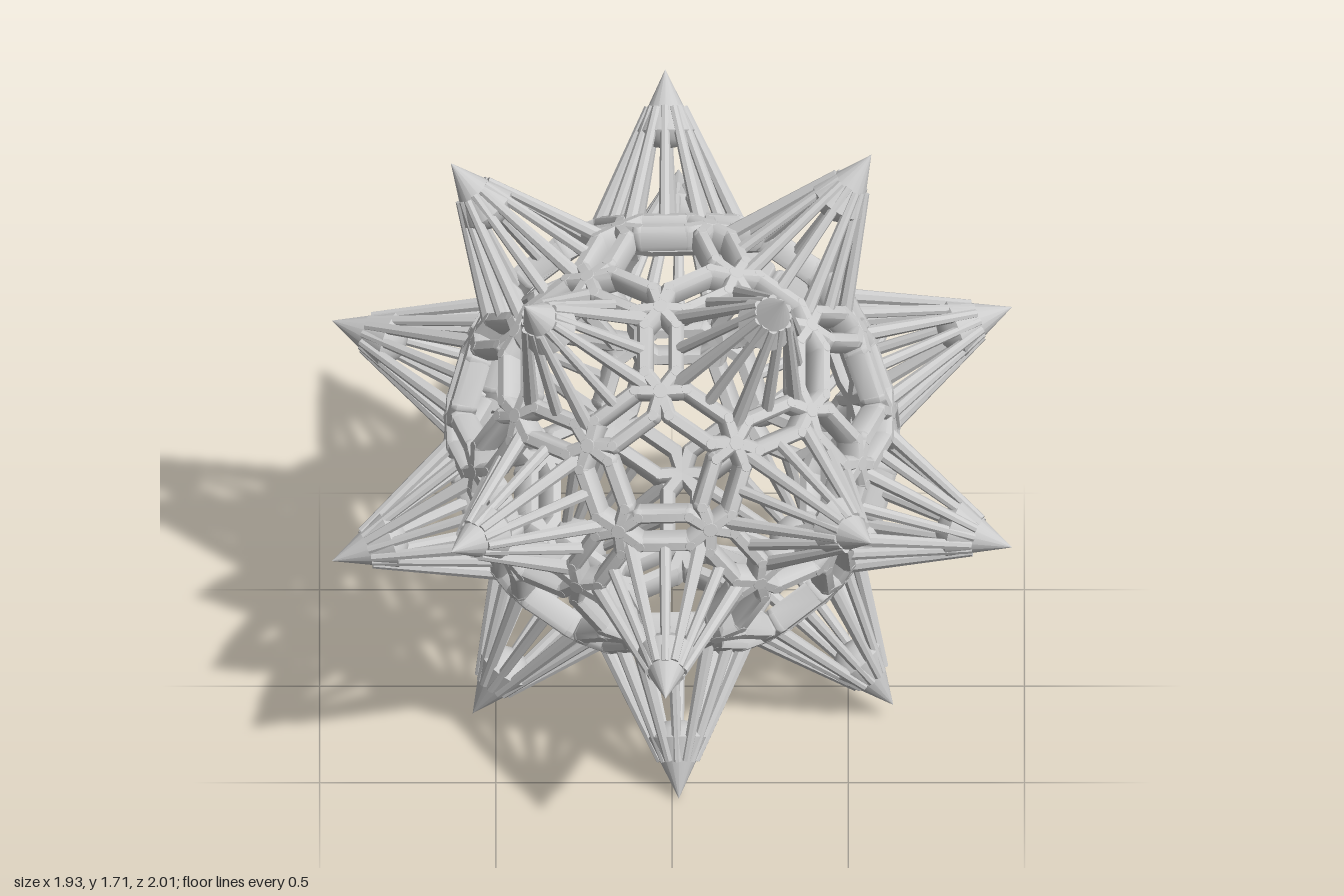
import * as THREE from 'three';
import { mergeGeometries, toCreasedNormals } from 'three/addons/utils/BufferGeometryUtils.js';

const R = 0.65;             // shell radius
const DEPTH = 0.075;        // shell thickness
const TIP = 1.035;          // spike tip radius
const NODE = 0.351;         // angle from a pentagon's centre to its corners
const SLOT = { half: 0.074, width: 0.046 };
// bar cross-section: sideways offset, distance from the shell's centre
const PROFILE = [[-0.013, R - DEPTH], [0.013, R - DEPTH], [0.021, R - DEPTH + 0.015], [0.022, R - 0.014],
  [0.012, R], [-0.012, R], [-0.022, R - 0.014], [-0.021, R - DEPTH + 0.015]];
const Y = new THREE.Vector3(0, 1, 0);

const sum = (...v) => v.reduce((s, p) => s.add(p), new THREE.Vector3()).normalize();
const plain = (g) => {
  const n = g.index ? g.toNonIndexed() : g;
  n.deleteAttribute('uv');
  return n;
};

// the direction reached by turning from p towards q
function towards(p, q, angle) {
  const side = q.clone().addScaledVector(p, -p.dot(q)).normalize();
  return p.clone().multiplyScalar(Math.cos(angle)).addScaledVector(side, Math.sin(angle));
}

// bar between two directions, its walls leaning towards the centre
function bar(a, b) {
  const side = sum(a, b).cross(b.clone().sub(a)).normalize();
  const pos = [], index = [], n = PROFILE.length;
  for (const dir of [a, b])
    for (const [l, r] of PROFILE)
      pos.push(...dir.clone().multiplyScalar(r).addScaledVector(side, l).toArray());
  for (let j = 0; j < n; j++) {
    const k = (j + 1) % n;
    index.push(j, k, n + k, j, n + k, n + j);
  }
  const g = new THREE.BufferGeometry();
  g.setAttribute('position', new THREE.Float32BufferAttribute(pos, 3));
  g.setIndex(index);
  g.computeVertexNormals();
  return plain(g);
}

// turned shape standing on a direction from the centre
function turned(profile, dir, sides) {
  const g = new THREE.LatheGeometry(profile.map(([x, y]) => new THREE.Vector2(x, y)), sides);
  return plain(g.applyQuaternion(new THREE.Quaternion().setFromUnitVectors(Y, dir)));
}

// joint where bars meet
const post = (dir, r) => turned([[0, R - DEPTH], [r * 0.6, R - DEPTH], [r * 0.9, R - DEPTH + 0.015],
  [r, R - 0.014], [r * 0.6, R], [0, R]], dir, 10);

// long six-sided frame between two corners of the shell
function slotFrame(a, b) {
  const mid = sum(a, b), along = b.clone().sub(a).normalize();
  const across = mid.clone().cross(along);
  return [-1, 1].flatMap((s) => {
    const corner = (e) => mid.clone().addScaledVector(along, e * SLOT.half / R)
      .addScaledVector(across, s * SLOT.width / R).normalize();
    const c = corner(-1), d = corner(1);
    return [bar(a, c), bar(c, d), bar(d, b), post(c, 0.024), post(d, 0.024)];
  });
}

// tapered rod between two points
function rod(a, b, r0, r1) {
  const d = b.clone().sub(a);
  const g = new THREE.CylinderGeometry(r1, r0, d.length(), 8);
  g.applyQuaternion(new THREE.Quaternion().setFromUnitVectors(Y, d.clone().normalize()));
  const m = a.clone().add(b).multiplyScalar(0.5);
  return plain(g.translate(m.x, m.y, m.z));
}

// solid tip carried by twelve ribs from the middles and corners of a hexagon
function spike(axis, p, q, r, node) {
  const tip = axis.clone().multiplyScalar(TIP);
  const parts = [turned([[0, 0.81], [0.035, 0.815], [0.066, 0.835], [0.084, 0.862], [0, TIP]], axis, 16)];
  const rib = (dir, angle, width) => {
    const base = towards(axis, dir, angle).multiplyScalar(R - 0.03);
    parts.push(rod(base, base.clone().lerp(tip, 0.76), width, 0.013));
  };
  for (const [a, b, c] of [[p, q, r], [q, r, p], [r, p, q]]) {
    rib(node(a, b), 0.335, 0.022);
    rib(node(a, c), 0.335, 0.022);
    rib(a, 0.295, 0.018);
    rib(sum(a, b), 0.295, 0.018);
  }
  return parts;
}

export function createModel() {
  const group = new THREE.Group();
  const material = new THREE.MeshStandardMaterial({ color: 0xcccccc, side: THREE.DoubleSide });
  const add = (parts, name) => {
    const mesh = new THREE.Mesh(toCreasedNormals(mergeGeometries(parts), 0.7), material);
    mesh.name = name;
    mesh.position.y = 0.849;
    group.add(mesh);
  };

  // twelve pentagon centres, slightly tilted
  const tilt = new THREE.Quaternion().setFromUnitVectors(Y, new THREE.Vector3(-0.044, 0.998, 0.044).normalize());
  const centres = [Y.clone()];
  for (let k = 0; k < 5; k++) {
    const az = THREE.MathUtils.degToRad(-52.4 + 72 * k);
    centres.push(new THREE.Vector3(2 * Math.cos(az), 1, 2 * Math.sin(az)).normalize());
  }
  centres.push(...centres.map((c) => c.clone().negate()));
  centres.forEach((c) => c.applyQuaternion(tilt));
  const near = (p, q) => p !== q && p.dot(q) > 0.3;
  const node = (p, q) => towards(p, q, NODE);

  const joints = [], links = [], pentagons = [], spikes = [];
  centres.forEach((p, i) => centres.forEach((q, j) => {
    if (!near(p, q)) return;
    joints.push(post(node(p, q), 0.034));
    // slot linking two neighbouring pentagons
    if (i < j) links.push(...slotFrame(node(p, q), node(q, p)));

    centres.forEach((r, k) => {
      if (!near(p, r) || !near(q, r) || j > k) return;
      // slot along a pentagon's edge
      pentagons.push(...slotFrame(node(p, q), node(p, r)));
      // spike between three pentagons
      if (i < j) spikes.push(spike(sum(p, q, r), p, q, r, node));
    });
  }));

  add(joints, 'joints');
  add(pentagons, 'pentagonSlots');
  add(links, 'linkSlots');
  spikes.forEach((parts, i) => add(parts, 'spike' + (i + 1)));
  return group;
}
